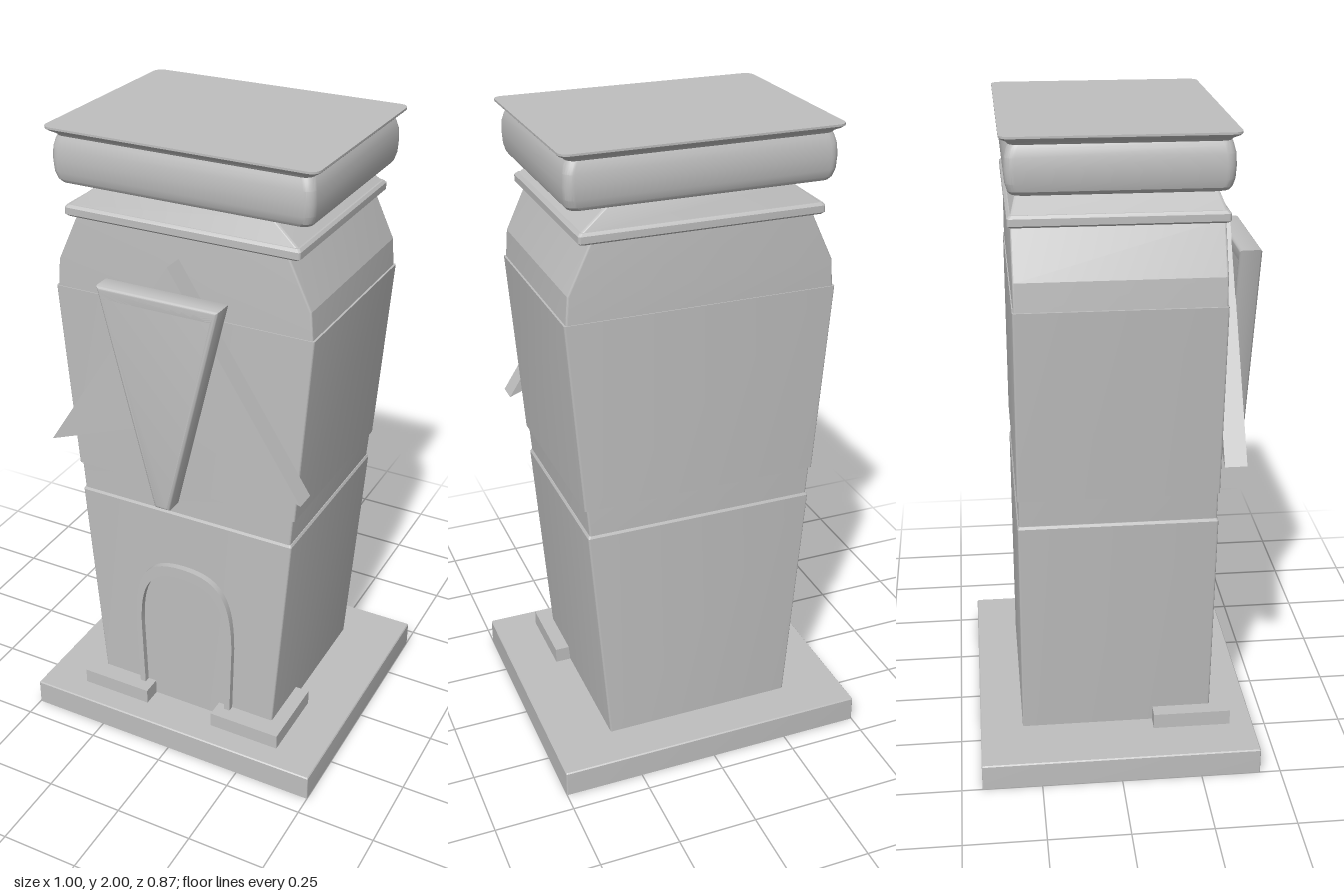
import * as THREE from 'three';
import { toCreasedNormals } from 'three/addons/utils/BufferGeometryUtils.js';

// Loft through rounded rectangles, each section being [y, halfX, halfZ]
function loft(sections, radius, openBottom = false) {
  const segs = 6, n = 4 * (segs + 1), last = sections.length - 1;
  const pos = [], idx = [];
  const signs = [[1, 1], [-1, 1], [-1, -1], [1, -1]];
  for (const [y, hx, hz] of sections) {
    signs.forEach(([sx, sz], q) => {
      for (let i = 0; i <= segs; i++) {
        const a = (q + i / segs) * Math.PI / 2;
        pos.push(sx * (hx - radius) + radius * Math.cos(a), y, sz * (hz - radius) + radius * Math.sin(a));
      }
    });
  }
  for (let s = 0; s < last; s++) {
    for (let i = 0; i < n; i++) {
      const a = s * n + i, b = s * n + (i + 1) % n;
      idx.push(a, a + n, b, b, a + n, b + n);
    }
  }
  // end faces
  pos.push(0, sections[0][0], 0, 0, sections[last][0], 0);
  const bottom = n * sections.length, top = bottom + 1;
  for (let i = 0; i < n; i++) {
    const j = (i + 1) % n;
    idx.push(top, last * n + j, last * n + i);
    if (!openBottom) idx.push(bottom, i, j);
  }
  const g = new THREE.BufferGeometry();
  g.setAttribute('position', new THREE.Float32BufferAttribute(pos, 3));
  g.setIndex(idx);
  return toCreasedNormals(g, 0.35);
}

const polygon = (pts) => new THREE.Shape(pts.map(([x, y]) => new THREE.Vector2(x, y)));

// Flat shape pushed out from z0 to z1
function plate(shape, z0, z1, bevel = 0) {
  const g = new THREE.ExtrudeGeometry(shape, {
    depth: z1 - z0 - 2 * bevel, curveSegments: 16,
    bevelEnabled: bevel > 0, bevelThickness: bevel, bevelSize: bevel, bevelOffset: -bevel, bevelSegments: 4,
  });
  g.translate(0, 0, z0 + bevel);
  return toCreasedNormals(g, 0.6);
}

// Door arch outline, half width w and crown height h
function archPoints(w, h, y0) {
  const path = new THREE.Path();
  path.moveTo(-w * 0.95, y0);
  path.lineTo(-w, 0.38);
  path.bezierCurveTo(-w, h - 0.06, -w * 0.72, h, 0, h);
  path.bezierCurveTo(w * 0.72, h, w, h - 0.06, w, 0.38);
  path.lineTo(w * 0.95, y0);
  return path.getPoints(14);
}

export function createModel() {
  const model = new THREE.Group();
  const stone = new THREE.MeshStandardMaterial({ color: 0xbfbfbf, side: THREE.DoubleSide });
  stone.name = 'grey stone';

  const add = (name, geometry) => {
    const mesh = new THREE.Mesh(geometry, stone);
    mesh.name = name;
    model.add(mesh);
    return mesh;
  };

  // Hollow base slab, open underneath, and the two step blocks beside the door
  add('base', loft([[0, 0.5, 0.436], [0.081, 0.5, 0.436], [0.085, 0.497, 0.433]], 0.004, true));
  for (const side of [-1, 1]) {
    add(side > 0 ? 'leftStep' : 'rightStep', new THREE.BoxGeometry(0.237, 0.05, 0.245))
      .position.set(side * 0.2375, 0.111, 0.2385);
  }

  // Tower body, widening towards the shoulders
  add('lowerBody', loft([[0.087, 0.306, 0.301], [0.825, 0.362, 0.301], [0.833, 0.358, 0.297]], 0.006));
  add('waistBand', loft([[0.832, 0.356, 0.297], [0.923, 0.363, 0.297]], 0.006));
  add('upperBody', loft([[0.922, 0.37, 0.301], [1.517, 0.414, 0.301]], 0.006));
  add('shoulders', loft([[1.516, 0.408, 0.298], [1.6, 0.401, 0.298], [1.745, 0.332, 0.298]], 0.006));

  // Neck moulding
  add('neckBand', loft([
    [1.742, 0.36, 0.3], [1.748, 0.367, 0.307], [1.768, 0.367, 0.307], [1.776, 0.36, 0.3],
  ], 0.008));
  add('neck', loft([[1.775, 0.356, 0.297], [1.835, 0.275, 0.276]], 0.008));

  // Bulging cap with a flared top lip
  add('cap', loft([
    [1.834, 0.374, 0.285], [1.838, 0.386, 0.297], [1.848, 0.394, 0.304], [1.87, 0.4, 0.31],
    [1.905, 0.402, 0.312], [1.94, 0.4, 0.31], [1.962, 0.394, 0.304], [1.973, 0.389, 0.3],
    [1.98, 0.395, 0.305], [1.988, 0.41, 0.318], [1.994, 0.416, 0.324], [2, 0.416, 0.324],
  ], 0.028));

  // Raised door surround
  const outer = archPoints(0.174, 0.642, 0.087);
  const inner = archPoints(0.154, 0.605, 0.087);
  add('doorFrame', plate(new THREE.Shape([...outer, ...inner.reverse()]), 0.298, 0.321));

  // Arrow-shaped wing behind the shield
  add('wingPlate', plate(polygon([[0, 1.68], [-0.418, 1.03], [0, 1.19], [0.418, 1.03]]), 0.303, 0.369));

  // Tapered shield with a rounded rim and recessed panel
  const rim = polygon([[-0.192, 1.612], [-0.025, 0.932], [0.025, 0.932], [0.192, 1.612]]);
  rim.holes.push(polygon([[-0.155, 1.567], [0.155, 1.567], [0.012, 0.968], [-0.012, 0.968]]));
  add('shieldRim', plate(rim, 0.368, 0.435, 0.011));
  add('shieldPanel', plate(polygon([[-0.17, 1.59], [-0.018, 0.95], [0.018, 0.95], [0.17, 1.59]]), 0.371, 0.411));

  // Fan ornament on the panel: a thin outer sector and a thicker inner band
  for (const [r0, r1, z] of [[0.125, 0.172, 0.415], [0.092, 0.125, 0.42]]) {
    const arc = new THREE.Shape();
    arc.absarc(0, 1.29, r1, Math.PI * 0.27, Math.PI * 0.73, false);
    arc.absarc(0, 1.29, r0, Math.PI * 0.73, Math.PI * 0.27, true);
    add('panelFan', plate(arc, 0.411, z));
  }
  return model;
}
